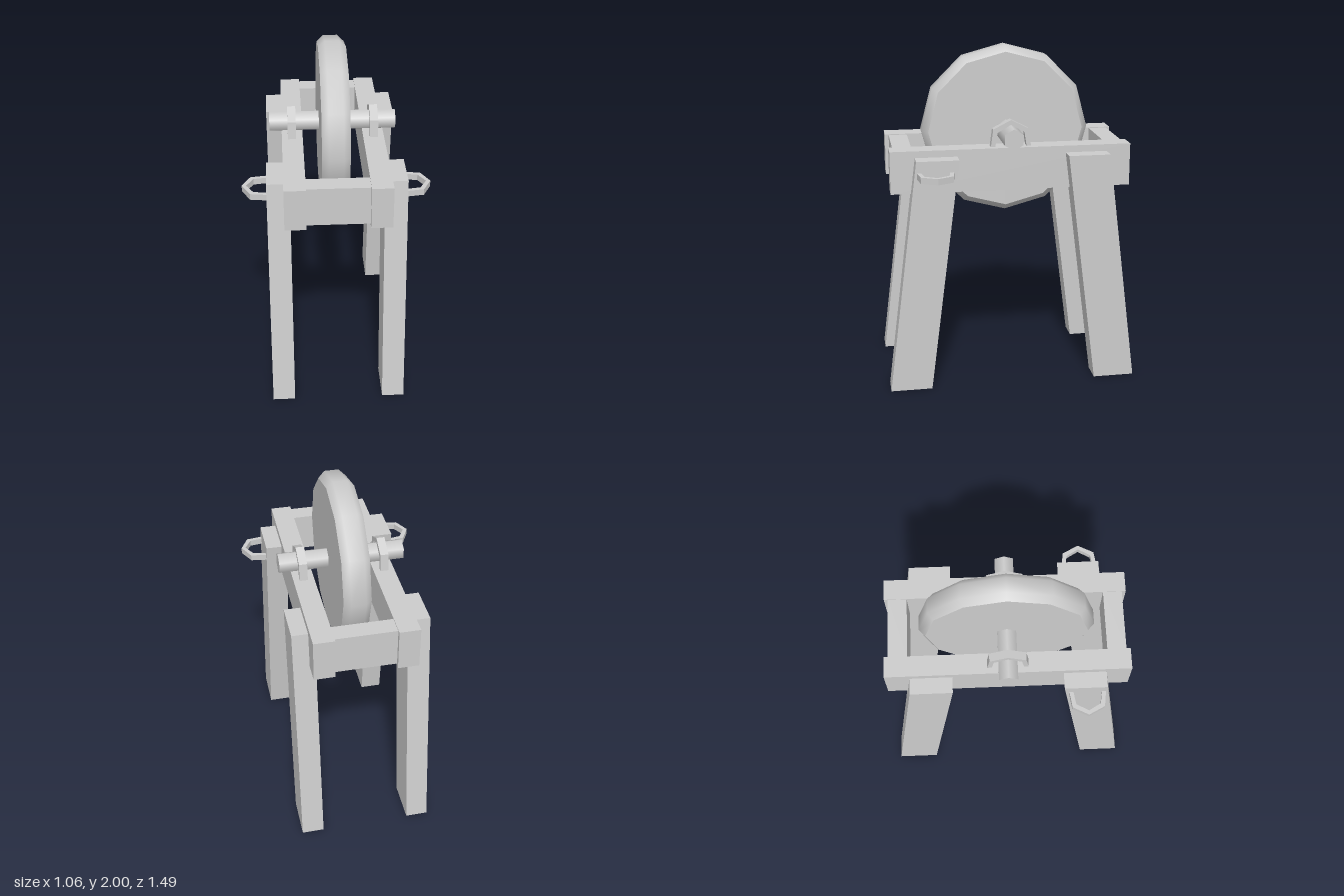
import * as THREE from 'three';

const material = new THREE.MeshStandardMaterial({ color: 0xcccccc });

function add(parent, name, geometry, x = 0, y = 0, z = 0) {
  const mesh = new THREE.Mesh(geometry, material);
  mesh.name = name;
  mesh.position.set(x, y, z);
  parent.add(mesh);
  return mesh;
}

// Angular bent-strap arch, open at the bottom, centred on its thickness
function archGeometry(scale, thickness) {
  const outline = [
    [-0.118, -0.02], [-0.118, 0], [-0.104, 0.102], [0, 0.155], [0.104, 0.102], [0.118, 0], [0.118, -0.02],
    [0.092, -0.02], [0.092, 0], [0.079, 0.082], [0, 0.127], [-0.079, 0.082], [-0.092, 0], [-0.092, -0.02],
  ].map(([x, y]) => new THREE.Vector2(x * scale, y * scale));
  const geometry = new THREE.ExtrudeGeometry(new THREE.Shape(outline), { depth: thickness, bevelEnabled: false });
  return geometry.translate(0, 0, -thickness / 2);
}

// Straight post whose top leans toward the middle along z
function legGeometry(zSide) {
  const height = 1.4;
  const geometry = new THREE.BoxGeometry(0.13, height, 0.245).translate(0, height / 2, 0);
  const p = geometry.attributes.position;
  for (let i = 0; i < p.count; i++) {
    const t = p.getY(i) / height;
    p.setZ(i, p.getZ(i) + zSide * (0.62 - 0.18 * t));
  }
  geometry.computeVertexNormals();
  return geometry;
}

// Twelve-sided stone with a bevelled rim; doubled points keep the face edges sharp
function wheelGeometry() {
  const profile = [
    [0, -0.08], [0.463, -0.08], [0.463, -0.08], [0.5, -0.042],
    [0.5, 0.042], [0.463, 0.08], [0.463, 0.08], [0, 0.08],
  ].map(([r, y]) => new THREE.Vector2(r, y));
  return new THREE.LatheGeometry(profile, 12).rotateZ(Math.PI / 2);
}

export function createModel() {
  const model = new THREE.Group();
  model.name = 'grindstone';

  // Wheel and its axle
  add(model, 'grindingWheel', wheelGeometry(), 0, 1.5, 0);
  const axle = new THREE.CylinderGeometry(0.062, 0.062, 0.74, 6, 1, false, Math.PI / 2).rotateZ(Math.PI / 2);
  add(model, 'axle', axle, 0, 1.5, 0);

  for (const side of [1, -1]) {
    const label = side > 0 ? 'left' : 'right';

    // Long rail and the bracket holding the axle
    add(model, `${label}Rail`, new THREE.BoxGeometry(0.122, 0.25, 1.41), side * 0.238, 1.315, 0);
    add(model, `${label}AxleBracket`, archGeometry(1, 0.048).rotateY(Math.PI / 2), side * 0.24, 1.44, 0);

    // Splayed legs
    add(model, `${label}FrontLeg`, legGeometry(1), side * 0.328);
    add(model, `${label}BackLeg`, legGeometry(-1), side * 0.328);

    // Flat loop handle on the front leg
    const basis = new THREE.Matrix4().makeBasis(
      new THREE.Vector3(0, 0, side), new THREE.Vector3(side, 0, 0), new THREE.Vector3(0, 1, 0));
    add(model, `${label}Handle`, archGeometry(0.89, 0.036).applyMatrix4(basis), side * 0.393, 1.315, 0.453);
  }

  // Cross bars closing the frame
  for (const end of [1, -1]) {
    add(model, end > 0 ? 'frontCrossBar' : 'backCrossBar',
      new THREE.BoxGeometry(0.36, 0.23, 0.11), 0, 1.32, end * 0.627);
  }

  return model;
}
